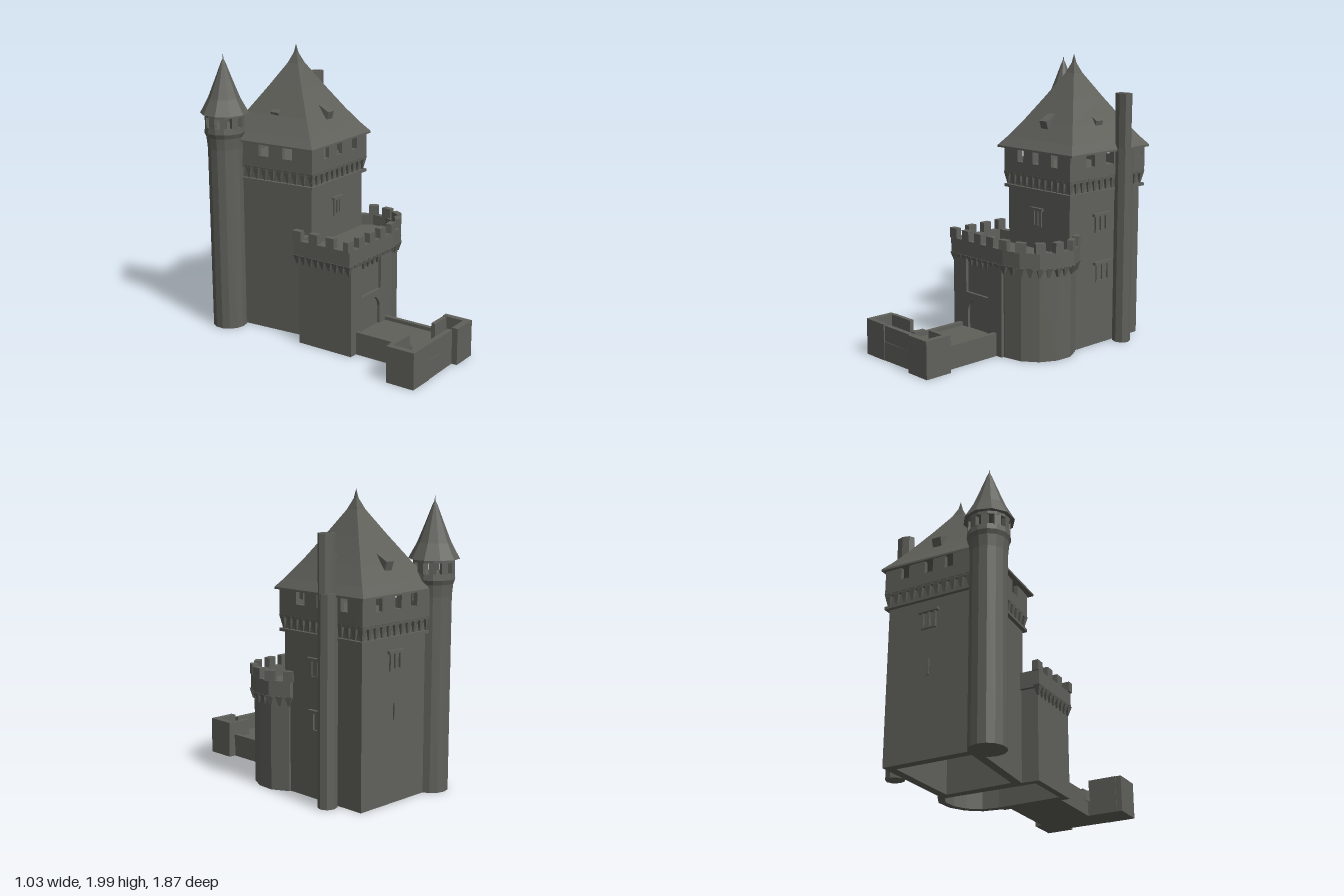
import * as THREE from 'three';

const stone = new THREE.MeshStandardMaterial({ color: 0x60605b, flatShading: true, side: THREE.DoubleSide });
stone.name = 'dark stone';

export function createModel() {
  const castle = new THREE.Group();
  castle.name = 'castle';
  let target = castle;

  const part = (name) => {
    target = new THREE.Group();
    target.name = name;
    castle.add(target);
  };
  const add = (name, geometry, x = 0, y = 0, z = 0, ry = 0) => {
    const mesh = new THREE.Mesh(geometry, stone);
    mesh.name = name;
    mesh.position.set(x, y, z);
    mesh.rotation.y = ry;
    target.add(mesh);
    return mesh;
  };
  // box given by its extents
  const block = (name, x0, x1, y0, y1, z0, z1) =>
    add(name, new THREE.BoxGeometry(x1 - x0, y1 - y0, z1 - z0), (x0 + x1) / 2, (y0 + y1) / 2, (z0 + z1) / 2);

  // plan outlines are [x, z] lists running front left -> front right -> back
  const toPoints = (pts) => pts.map(([x, z]) => new THREE.Vector2(x, -z));
  const prism = (name, pts, y0, y1, hole) => {
    const shape = new THREE.Shape(toPoints(pts));
    if (hole) shape.holes.push(new THREE.Path(toPoints(hole)));
    const g = new THREE.ExtrudeGeometry(shape, { depth: y1 - y0, bevelEnabled: false });
    return add(name, g.rotateX(-Math.PI / 2), 0, y0);
  };
  const normal = (a, b) => {
    const l = Math.hypot(b[0] - a[0], b[1] - a[1]);
    return [-(b[1] - a[1]) / l, (b[0] - a[0]) / l];
  };
  const outset = (pts, d) => pts.map((p, i) => {
    const m = normal(pts[(i + pts.length - 1) % pts.length], p);
    const n = normal(p, pts[(i + 1) % pts.length]);
    const k = d / (1 + m[0] * n[0] + m[1] * n[1]);
    return [p[0] + (m[0] + n[0]) * k, p[1] + (m[1] + n[1]) * k];
  });
  const heading = (a, b) => Math.atan2(a[1] - b[1], b[0] - a[0]);
  // repeat something along an open outline
  const along = (pts, spacing, place) => {
    for (let s = 0; s < pts.length - 1; s++) {
      const [a, b] = [pts[s], pts[s + 1]];
      const n = Math.max(1, Math.round(Math.hypot(b[0] - a[0], b[1] - a[1]) / spacing));
      const end = s === pts.length - 2 ? n : n - 1;
      for (let i = 0; i <= end; i++) {
        place(a[0] + (b[0] - a[0]) * i / n, a[1] + (b[1] - a[1]) * i / n, heading(a, b));
      }
    }
  };
  const corbels = (pts, spacing, y, h) => along(pts, spacing, (x, z, r) => {
    const g = new THREE.CylinderGeometry(0.034, 0.008, h, 4).rotateY(Math.PI / 4);
    add('corbel', g, x, y, z, r);
  });

  // ---- Keep ----
  part('keep');
  const keep = [[-0.21, -0.12], [0.385, -0.12], [0.385, -0.81], [-0.27, -0.8]];
  const gallery = outset(keep, 0.025);
  const around = [...gallery, gallery[0]];
  prism('keepWalls', keep, 0, 1.19, outset(keep, -0.06));
  prism('corbelSill', gallery, 1.07, 1.09, outset(keep, -0.03));
  corbels([...outset(keep, 0.003), outset(keep, 0.003)[0]], 0.06, 1.135, 0.09);
  prism('galleryFloor', gallery, 1.165, 1.2);
  // gallery walls with open windows, [centre, width] along x or z
  const frontHoles = [[-0.07, 0.06], [0.08, 0.06], [0.26, 0.06]];
  const sideHoles = [[-0.29, 0.08], [-0.48, 0.08], [-0.68, 0.06]];
  for (let i = 0; i < 4; i++) {
    const [a, b] = [around[i], around[i + 1]];
    const len = Math.hypot(b[0] - a[0], b[1] - a[1]);
    const wall = new THREE.Shape(toPoints([[0, 0], [len, 0], [len, -0.155], [0, -0.155]]));
    for (const [c, w] of i % 2 ? sideHoles : frontHoles) {
      const u = Math.abs(c - a[i % 2]);
      wall.holes.push(new THREE.Path(toPoints(
        [[u - w / 2, -0.06], [u + w / 2, -0.06], [u + w / 2, -0.15], [u - w / 2, -0.15]])));
    }
    const g = new THREE.ExtrudeGeometry(wall, { depth: 0.03, bevelEnabled: false }).translate(0, 0, -0.03);
    add('galleryWall', g, a[0], 1.2, a[1], heading(a, b));
  }

  // flared pyramid roof from scaled cross-sections
  part('keepRoof');
  const eaves = [[-0.27, -0.065], [0.44, -0.08], [0.43, -0.86], [-0.32, -0.82]];
  const apex = [0.08, -0.46];
  const levels = [[1.36, 1], [1.42, 0.87], [1.53, 0.66], [1.7, 0.37], [1.86, 0.11], [1.93, 0.03], [1.99, 0]];
  const pos = [], idx = [];
  for (const [y, s] of levels) {
    for (const [x, z] of eaves) pos.push(apex[0] + (x - apex[0]) * s, y, apex[1] + (z - apex[1]) * s);
  }
  for (let l = 0; l < levels.length - 1; l++) {
    for (let i = 0; i < 4; i++) {
      const p = l * 4 + i, q = l * 4 + (i + 1) % 4;
      idx.push(p, q, q + 4, p, q + 4, p + 4);
    }
  }
  const roof = new THREE.BufferGeometry();
  roof.setAttribute('position', new THREE.Float32BufferAttribute(pos, 3));
  roof.setIndex(idx);
  roof.computeVertexNormals();
  add('roof', roof);
  prism('eaves', eaves, 1.347, 1.36);
  // one dormer on each slope
  for (let i = 0; i < 4; i++) {
    const d = new THREE.Shape(toPoints([[0.1, -1.48], [0.255, -1.48], [0.275, -1.55], [0.17, -1.61], [0.1, -1.61]]));
    const g = new THREE.ExtrudeGeometry(d, { depth: 0.066, bevelEnabled: false }).translate(0, 0, -0.033);
    if (i % 2) g.translate(0.015, 0, 0);
    add('dormer', g, apex[0], 0, apex[1], i * Math.PI / 2 + Math.PI / 2).scale.x = i % 2 ? 0.86 : 1.08;
  }

  // ---- Keep windows: hood, jambs, mullion and sill ----
  part('keepWindows');
  const windowFrame = (x, y, z, ry, w, h) => {
    const frame = new THREE.Group();
    frame.name = 'window';
    frame.position.set(x, y, z);
    frame.rotation.y = ry;
    target.add(frame);
    const keepTarget = target;
    target = frame;
    block('hood', -w * 0.8, w * 0.8, h / 2, h / 2 + 0.02, -0.01, 0.022);
    block('sill', -w * 0.6, w * 0.6, -h / 2 - 0.012, -h / 2, -0.01, 0.012);
    for (const s of [-1, 0, 1]) block('post', s * w / 2 - 0.008, s * w / 2 + 0.008, -h / 2, h / 2, -0.01, 0.012);
    target = keepTarget;
  };
  windowFrame(0.08, 0.89, -0.12, 0, 0.07, 0.1);
  windowFrame(0.385, 0.86, -0.42, Math.PI / 2, 0.1, 0.1);
  windowFrame(0.385, 0.515, -0.44, Math.PI / 2, 0.11, 0.11);
  windowFrame(0.08, 0.93, -0.807, Math.PI, 0.09, 0.1);
  block('slit', 0.07, 0.09, 0.55, 0.66, -0.815, -0.8);

  // ---- Round stair turret ----
  part('turret');
  const tx = -0.328, tz = -0.768, lathe = (pts, n) =>
    new THREE.LatheGeometry(pts.map(([r, y]) => new THREE.Vector2(r, y)), n);
  add('shaft', lathe([[0, 0], [0.12, 0], [0.122, 1.3], [0.13, 1.38], [0.142, 1.41], [0.138, 1.45], [0, 1.45]], 14), tx, 0, tz);
  add('windowHead', lathe([[0.105, 1.52], [0.138, 1.52], [0.138, 1.55], [0.105, 1.55], [0.105, 1.52]], 14), tx, 0, tz);
  for (let i = 0; i < 10; i++) {
    const a = (i + 0.5) * Math.PI / 5;
    add('pier', new THREE.BoxGeometry(0.046, 0.09, 0.03), tx + Math.sin(a) * 0.119, 1.485, tz + Math.cos(a) * 0.119, a);
  }
  add('spire', lathe([[0, 1.54], [0.167, 1.54], [0.11, 1.645], [0.06, 1.77], [0.018, 1.88], [0.004, 1.91], [0, 1.945]], 10), tx, 0, tz);

  // ---- Chimney ----
  part('chimney');
  add('lowerStack', new THREE.CylinderGeometry(0.064, 0.064, 1.37, 8).scale(1.03, 1, 0.93), 0.449, 0.685, -0.58, Math.PI);
  add('upperStack', lathe([[0.06, 1.3], [0.064, 1.74], [0.036, 1.74], [0.034, 1.5], [0, 1.5]], 8)
    .scale(1.03, 1, 0.72), 0.449, 0, -0.567);

  // ---- Gatehouse with one rounded corner ----
  part('gatehouse');
  const gate = [[-0.33, -0.14], [-0.33, 0.27], [0.17, 0.27], [0.3, 0.245], [0.4, 0.17],
    [0.455, 0.06], [0.46, -0.06], [0.4, -0.17]];
  const parapet = outset(gate, 0.023);
  prism('gatehouseWalls', gate, 0, 0.64, outset(gate, -0.045));
  prism('parapet', parapet, 0.63, 0.745, outset(gate, -0.02));
  prism('wallWalk', [[-0.31, -0.13], [-0.31, 0.26], [0.24, 0.26], [0.25, 0.17], [0.41, 0.15], [0.44, 0.05],
    [0.44, -0.06], [0.39, -0.15]], 0.65, 0.67);
  corbels(outset(gate, 0.004), 0.055, 0.61, 0.065);
  along(outset(gate, 0.001), 0.125, (x, z, r) =>
    add('merlon', new THREE.BoxGeometry(0.068, 0.07, 0.043), x, 0.777, z, r));
  // gate front with arched doorway and recessed drawbridge panel
  const front = new THREE.Shape(toPoints([[-0.33, 0], [0.16, 0], [0.16, -0.63], [-0.33, -0.63]]));
  front.holes.push(new THREE.Path(toPoints([[-0.2, -0.385], [0.025, -0.385], [0.025, -0.62], [-0.2, -0.62]])));
  const arch = new THREE.Path();
  arch.moveTo(-0.185, 0.13).lineTo(0.015, 0.13).lineTo(0.015, 0.25);
  arch.absarc(-0.085, 0.25, 0.1, 0, Math.PI, false);
  arch.lineTo(-0.185, 0.13);
  front.holes.push(arch);
  add('gateFront', new THREE.ExtrudeGeometry(front, { depth: 0.022, bevelEnabled: false, curveSegments: 8 }), 0, 0, 0.268);

  // ---- Bridge ----
  part('bridge');
  block('roadway', -0.27, 0.11, 0, 0.135, 0.28, 0.74);
  block('leftCurb', 0.08, 0.11, 0.1, 0.16, 0.28, 0.74);
  block('rightCurb', -0.27, -0.24, 0.1, 0.16, 0.28, 0.72);

  // ---- Outer forework ----
  part('forework');
  prism('floor', [[-0.52, 0.9], [-0.03, 0.89], [-0.03, 0.93], [0.16, 0.93], [0.16, 0.73], [-0.27, 0.69], [-0.52, 0.7]], 0, 0.13);
  block('rightEndWall', -0.52, -0.48, 0, 0.25, 0.695, 0.9);
  block('rightFrontWall', -0.48, -0.33, 0, 0.25, 0.87, 0.9);
  block('middleFrontWall', -0.33, -0.03, 0, 0.24, 0.855, 0.89);
  block('rightBackWall', -0.48, -0.28, 0, 0.25, 0.69, 0.72);
  prism('rightCorner', [[-0.3, 0.72], [-0.24, 0.71], [-0.24, 0.62], [-0.27, 0.62], [-0.275, 0.67]], 0.1, 0.175);
  block('leftFrontWall', -0.03, 0.16, 0, 0.255, 0.885, 0.93);
  block('leftEndWall', 0.12, 0.16, 0, 0.255, 0.73, 0.89);
  block('leftBackWall', -0.03, 0.12, 0.1, 0.25, 0.73, 0.76);

  return castle;
}
